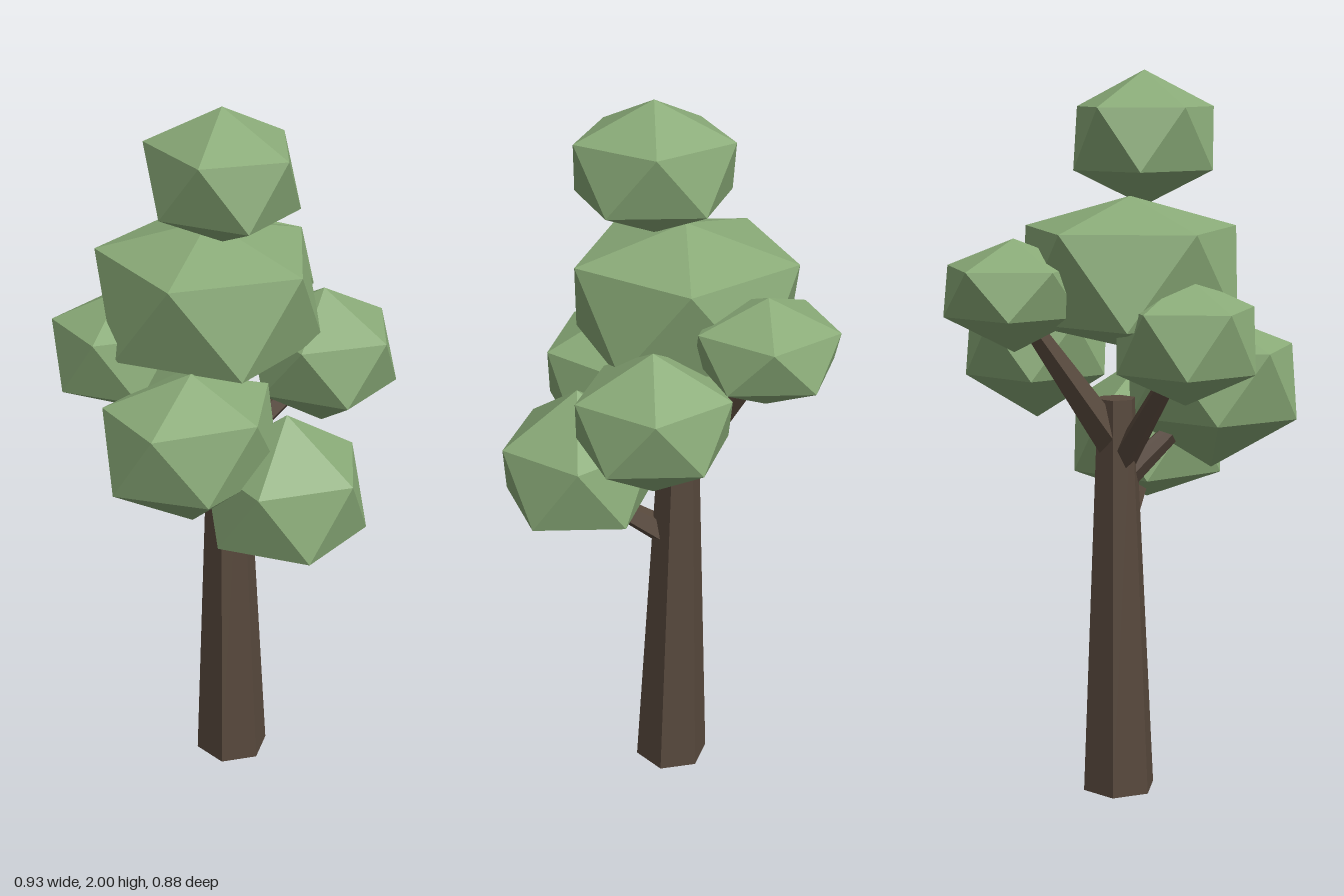
import * as THREE from 'three';

const bark = new THREE.MeshStandardMaterial({ color: 0x58493d, flatShading: true });
bark.name = 'bark brown';
const leaf = new THREE.MeshStandardMaterial({ color: 0x8aab78, flatShading: true });
leaf.name = 'leaf green';

// Five-sided tapered limb between two points
function limb(name, from, to, r0, r1) {
  const a = new THREE.Vector3(...from), b = new THREE.Vector3(...to);
  const dir = b.clone().sub(a);
  const mesh = new THREE.Mesh(new THREE.CylinderGeometry(r1, r0, dir.length(), 5), bark);
  mesh.name = name;
  mesh.position.copy(a).add(b).multiplyScalar(0.5);
  mesh.quaternion.setFromUnitVectors(new THREE.Vector3(0, 1, 0), dir.normalize());
  return mesh;
}

// Icosahedron standing on a corner, with one upper ring corner toward +x.
// heights: bottom corner, lower ring, upper ring, top corner
function leafCluster(name, x, z, radiusX, radiusZ, heights) {
  const geo = new THREE.IcosahedronGeometry(1, 0);
  geo.rotateZ(-Math.atan2(2, 1 + Math.sqrt(5)));
  geo.scale(radiusX, 1, radiusZ);
  const p = geo.attributes.position;
  for (let i = 0; i < p.count; i++) {
    const y = p.getY(i);
    p.setY(i, heights[y < -0.7 ? 0 : y < 0 ? 1 : y < 0.7 ? 2 : 3]);
  }
  geo.computeVertexNormals();
  const mesh = new THREE.Mesh(geo, leaf);
  mesh.name = name;
  mesh.position.set(x, 0, z);
  return mesh;
}

export function createModel() {
  const tree = new THREE.Group();
  tree.name = 'tree';

  // Trunk, leaning slightly to the back
  const height = 1.12;
  const trunkGeo = new THREE.CylinderGeometry(0.054, 0.105, height, 6);
  trunkGeo.rotateY(THREE.MathUtils.degToRad(10));
  trunkGeo.translate(0, height / 2, 0);
  const p = trunkGeo.attributes.position;
  for (let i = 0; i < p.count; i++) p.setZ(i, p.getZ(i) - 0.023 - 0.02 * p.getY(i) / height);
  trunkGeo.computeVertexNormals();
  const trunk = new THREE.Mesh(trunkGeo, bark);
  trunk.name = 'trunk';
  tree.add(trunk);

  // Branches reaching into the lower clusters
  const branches = [
    ['frontBranch', [0, 0.75, -0.02], [0, 0.9, 0.22], 0.042],
    ['rightBranch', [0, 0.88, -0.03], [-0.2, 1.1, 0.1], 0.04],
    ['backRightBranch', [0, 0.92, -0.035], [-0.22, 1.25, -0.18], 0.04],
    ['leftBranch', [0, 1.0, -0.035], [0.24, 1.2, 0.03], 0.042],
    ['backLeftBranch', [0.01, 1.0, -0.05], [0.2, 1.38, -0.25], 0.05],
  ];
  for (const [name, from, to, radius] of branches) tree.add(limb(name, from, to, radius, 0.023));

  // Foliage clusters: centre x and z, radii, heights
  const clusters = [
    ['topFoliage', -0.057, 0.022, 0.215, 0.245, [1.64, 1.737, 1.903, 2]],
    ['crownFoliage', -0.045, -0.06, 0.335, 0.345, [1.262, 1.34, 1.585, 1.67]],
    ['frontFoliage', 0.003, 0.235, 0.245, 0.24, [0.79, 0.876, 1.065, 1.21]],
    ['rightFoliage', -0.222, 0.122, 0.272, 0.228, [0.912, 1.06, 1.253, 1.345]],
    ['leftFoliage', 0.264, 0.037, 0.225, 0.235, [1.04, 1.17, 1.33, 1.44]],
    ['backLeftFoliage', 0.21, -0.258, 0.212, 0.213, [1.265, 1.365, 1.49, 1.565]],
    ['backRightFoliage', -0.242, -0.187, 0.212, 0.205, [1.135, 1.225, 1.39, 1.475]],
  ];
  for (const [name, ...shape] of clusters) tree.add(leafCluster(name, ...shape));

  return tree;
}
